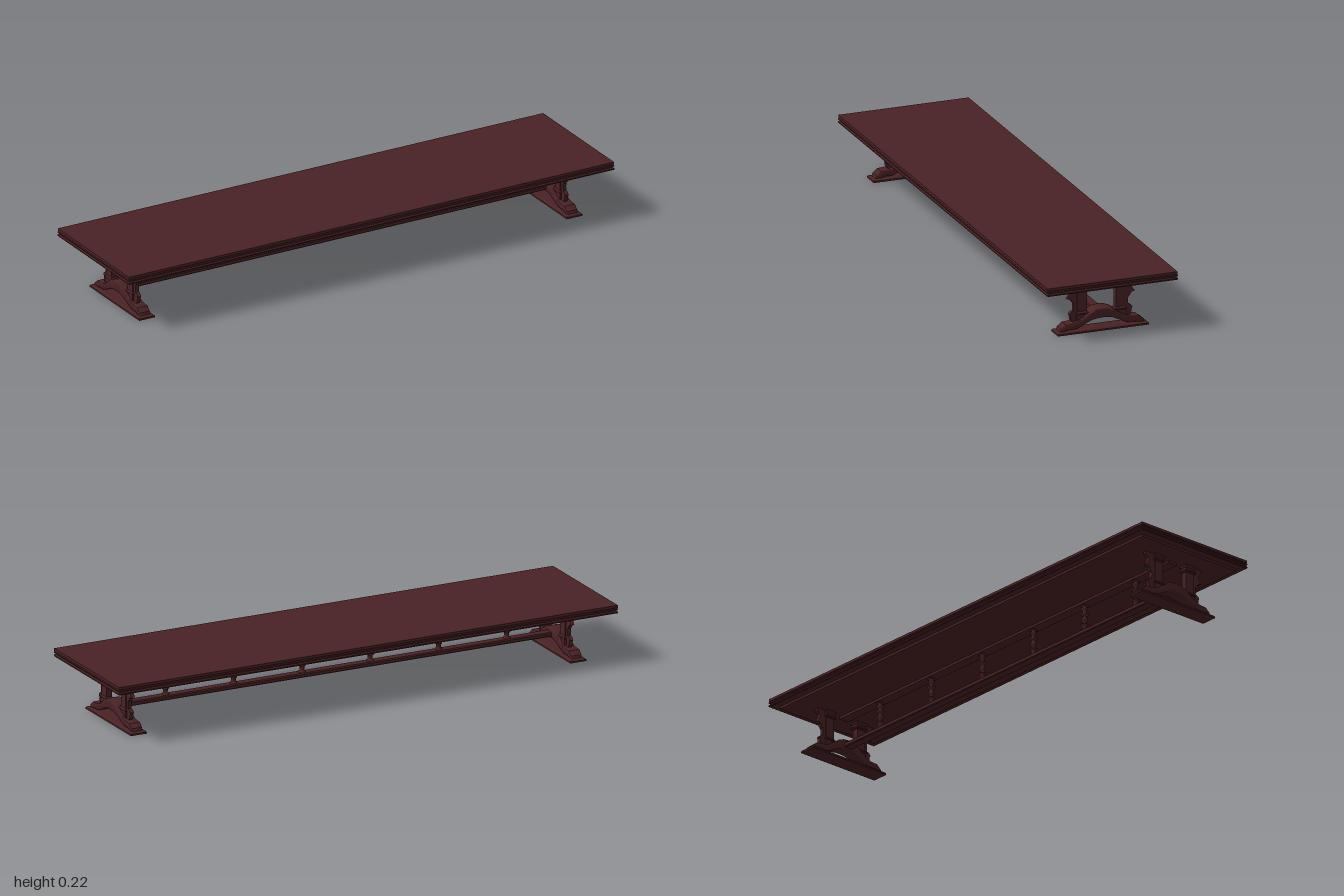
import * as THREE from 'three';
import { toCreasedNormals } from 'three/addons/utils/BufferGeometryUtils.js';

export function createModel() {
  const table = new THREE.Group();
  table.name = 'trestleTable';
  const wood = new THREE.MeshStandardMaterial({ color: 0x4a2224 });
  wood.name = 'dark mahogany';

  function add(parent, name, geometry, x = 0, y = 0, z = 0) {
    const mesh = new THREE.Mesh(geometry, wood);
    mesh.name = name;
    mesh.position.set(x, y, z);
    parent.add(mesh);
    return mesh;
  }

  // Rectangular block with a moulded edge; profile = [offset from half size, y], bottom to top
  function moulded(hx, hz, profile) {
    const pts = profile.map(([, y]) => new THREE.Vector2(1, y));
    pts.unshift(new THREE.Vector2(0, profile[0][1]));
    pts.push(new THREE.Vector2(0, profile[profile.length - 1][1]));
    const offsets = [0, ...profile.map(([d]) => d), 0];
    const g = new THREE.LatheGeometry(pts, 4, Math.PI / 4);
    const p = g.attributes.position;
    for (let i = 0; i < p.count; i++) {
      const j = i % pts.length;
      if (j === 0 || j === pts.length - 1) continue;
      p.setX(i, Math.sign(p.getX(i)) * (hx + offsets[j]));
      p.setZ(i, Math.sign(p.getZ(i)) * (hz + offsets[j]));
    }
    const flat = g.toNonIndexed();
    flat.computeVertexNormals();
    return flat;
  }

  // Side outline (z, y) extruded across x, centred on x = 0
  function board(shape, width, bevel = 0) {
    const g = new THREE.ExtrudeGeometry(shape, {
      depth: width - 2 * bevel, bevelEnabled: bevel > 0, bevelSize: bevel,
      bevelThickness: bevel, bevelOffset: -bevel, bevelSegments: 3, curveSegments: 8,
    });
    g.translate(0, 0, -width / 2 + bevel);
    g.rotateY(-Math.PI / 2);
    return g;
  }

  // Top with moulded rim and a thin sub-frame
  add(table, 'tableTop', moulded(1, 0.25, [
    [-0.002, 0.187], [0, 0.189], [0, 0.193], [-0.004, 0.197], [-0.004, 0.199],
    [0, 0.201], [0, 0.204], [-0.003, 0.206], [-0.001, 0.208], [-0.001, 0.2175],
  ]));
  add(table, 'subFrame', new THREE.BoxGeometry(1.94, 0.01, 0.444), 0, 0.183, 0);

  // Long rails
  add(table, 'upperRail', new THREE.BoxGeometry(1.76, 0.01, 0.04), 0, 0.174, 0);
  add(table, 'lowerRail', moulded(0.87, 0.018, [
    [-0.003, 0.053], [0, 0.056], [0, 0.066], [-0.003, 0.07],
  ]));

  // Turned balusters between the rails
  const turning = [
    [0.013, 0.069], [0.013, 0.074], [0.008, 0.077], [0.009, 0.083], [0.009, 0.09], [0.013, 0.093],
    [0.013, 0.096], [0.006, 0.099], [0.008, 0.104], [0.011, 0.111], [0.011, 0.116], [0.007, 0.122],
    [0.007, 0.126], [0.012, 0.13], [0.016, 0.134], [0.012, 0.138], [0.007, 0.141], [0.007, 0.147],
    [0.011, 0.154], [0.011, 0.159], [0.006, 0.164], [0.012, 0.166], [0.014, 0.17],
  ].map(([r, y]) => new THREE.Vector2(r, y));
  const balusterGeometry = new THREE.LatheGeometry(turning, 16);
  for (let i = 0; i < 6; i++) {
    add(table, 'baluster', balusterGeometry, (i - 2.5) * 0.2735);
  }

  // Arched foot outline, drawn for one half and mirrored
  const upper = [[0, 0.085], [0.02, 0.083], [0.04, 0.076], [0.06, 0.062], [0.08, 0.048],
    [0.1, 0.039], [0.12, 0.036], [0.14, 0.035], [0.149, 0.027], [0.158, 0.021], [0.162, 0.01]];
  const lower = [[0.14, 0.01], [0.125, 0.014], [0.1, 0.014], [0.08, 0.021], [0.06, 0.032],
    [0.04, 0.041], [0.02, 0.045], [0, 0.046]];
  const half = [...upper, ...lower];
  const mirrored = half.slice(1, -1).reverse().map(([z, y]) => [-z, y]);
  const archShape = new THREE.Shape([...half, ...mirrored].map(([z, y]) => new THREE.Vector2(z, y)));
  let archGeometry = board(archShape, 0.054, 0.005);
  const ap = archGeometry.attributes.position;
  for (let i = 0; i < ap.count; i++) {
    ap.setX(i, ap.getX(i) * (0.76 + 0.24 * Math.min(1, ap.getY(i) / 0.07)));
  }
  archGeometry = toCreasedNormals(archGeometry, 0.6);

  // Scalloped bracket outside each column
  function bracketGeometry(s) {
    const b = new THREE.Shape();
    b.moveTo(s * 0.08, 0.178);
    b.lineTo(s * 0.132, 0.178);
    b.quadraticCurveTo(s * 0.13, 0.166, s * 0.119, 0.158);
    b.quadraticCurveTo(s * 0.115, 0.143, s * 0.13, 0.126);
    b.lineTo(s * 0.115, 0.122);
    b.quadraticCurveTo(s * 0.113, 0.112, s * 0.105, 0.107);
    b.quadraticCurveTo(s * 0.103, 0.092, s * 0.105, 0.078);
    b.quadraticCurveTo(s * 0.116, 0.077, s * 0.121, 0.066);
    b.quadraticCurveTo(s * 0.114, 0.057, s * 0.118, 0.05);
    b.lineTo(s * 0.108, 0.036);
    b.lineTo(s * 0.08, 0.036);
    return toCreasedNormals(board(b, 0.014), 0.6);
  }

  const columnGeometry = moulded(0.011, 0.018, [
    [0, 0.035], [0.003, 0.036], [0.003, 0.064], [0.005, 0.066], [0.005, 0.069], [0.002, 0.073],
    [0, 0.075], [0, 0.152], [0.006, 0.154], [0.007, 0.158], [0.003, 0.162],
    [0.003, 0.17], [0.006, 0.174], [0.007, 0.178],
  ]);
  const footGeometry = moulded(0.032, 0.174, [
    [0, 0], [0, 0.006], [-0.003, 0.009], [-0.008, 0.011],
  ]);

  // The two end trestles
  for (const side of [-1, 1]) {
    const trestle = new THREE.Group();
    trestle.name = side > 0 ? 'leftTrestle' : 'rightTrestle';
    trestle.position.x = side * 0.88;
    add(trestle, 'footPlate', footGeometry);
    add(trestle, 'archedFoot', archGeometry);
    for (const s of [-1, 1]) {
      add(trestle, 'column', columnGeometry, 0, 0, s * 0.0735);
      add(trestle, 'scrollBracket', bracketGeometry(s));
    }
    table.add(trestle);
  }
  return table;
}
